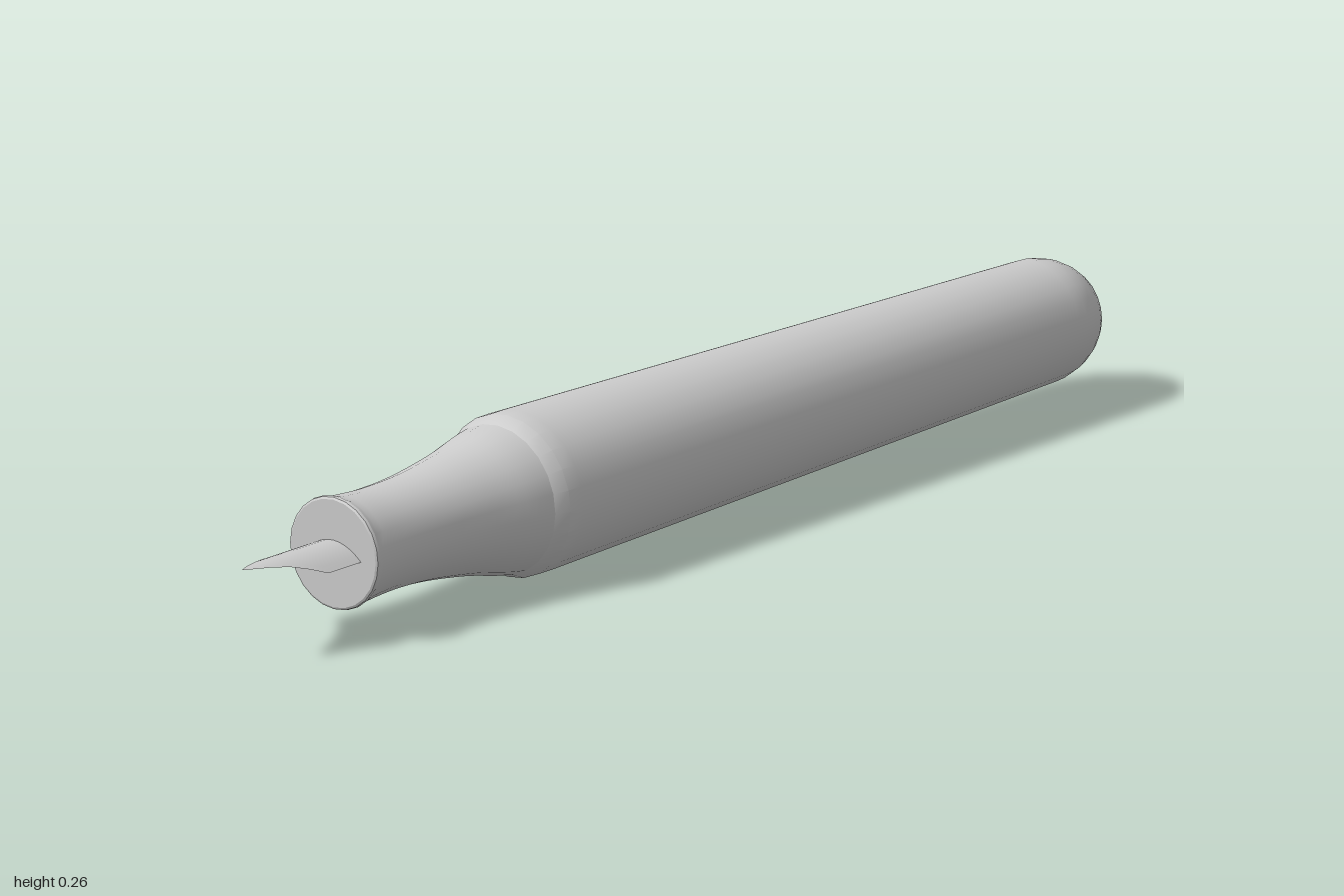
import * as THREE from 'three';
import { toCreasedNormals } from 'three/addons/utils/BufferGeometryUtils.js';

const AXIS_Y = 0.133; // height of the pen's long axis
const SIDES = 24;

function grey(side = THREE.FrontSide) {
  return new THREE.MeshStandardMaterial({ color: 0xcccccc, side });
}

// Solid of revolution around the pen's axis, from [x, radius] pairs
function turned(name, profile) {
  const points = profile.map(([x, r]) => new THREE.Vector2(r, x));
  const geometry = new THREE.LatheGeometry(points, SIDES).rotateZ(-Math.PI / 2);
  const mesh = new THREE.Mesh(toCreasedNormals(geometry, 0.45), grey());
  mesh.name = name;
  mesh.position.y = AXIS_Y;
  return mesh;
}

// Thin curved sheet: each station is [x, half width], arched across z
function nibGeometry() {
  const stations = [
    [-1, 0.001], [-0.975, 0.012], [-0.95, 0.02], [-0.92, 0.031],
    [-0.89, 0.045], [-0.862, 0.058], [-0.74, 0.058],
  ];
  const across = 10;
  const geometry = new THREE.PlaneGeometry(1, 1, across, stations.length - 1);
  const pos = geometry.attributes.position;
  stations.forEach(([x, half], i) => {
    for (let j = 0; j <= across; j++) {
      const z = half * (1 - (2 * j) / across);
      const y = 0.155 - 0.025 * (z / 0.058) ** 2;
      pos.setXYZ(i * (across + 1) + j, x, y, z);
    }
  });
  geometry.computeVertexNormals();
  // Keep the sheet's outward side facing up
  if (geometry.attributes.normal.getY(across / 2 + across + 1) < 0) {
    geometry.index.array.reverse();
    geometry.computeVertexNormals();
  }
  return geometry;
}

export function createModel() {
  const pen = new THREE.Group();
  pen.name = 'fountainPen';

  // Barrel: chamfered shoulder, long taper, rounded end
  const barrel = [[-0.4, 0.116], [-0.392, 0.122], [-0.37, 0.132], [-0.34, 0.1322]];
  const domeSteps = 10;
  for (let i = 0; i <= domeSteps; i++) {
    const a = (i / domeSteps) * (Math.PI / 2);
    barrel.push([0.88 + 0.118 * Math.sin(a), i === domeSteps ? 0 : 0.1 * Math.cos(a)]);
  }
  pen.add(turned('barrel', barrel));

  // Grip: waisted curve ending in a small flared lip and flat face
  const waist = new THREE.SplineCurve([
    [-0.765, 0.0885], [-0.69, 0.084], [-0.6, 0.087], [-0.5, 0.1], [-0.43, 0.115], [-0.385, 0.122],
  ].map(([x, r]) => new THREE.Vector2(x, r)));
  const grip = [
    [-0.784, 0], [-0.784, 0.088], [-0.782, 0.0915], [-0.777, 0.0925], [-0.771, 0.0905],
    ...waist.getPoints(20).map((p) => [p.x, p.y]),
  ];
  pen.add(turned('grip', grip));

  // Nib
  const nib = new THREE.Mesh(nibGeometry(), grey(THREE.DoubleSide));
  nib.name = 'nib';
  pen.add(nib);

  return pen;
}
